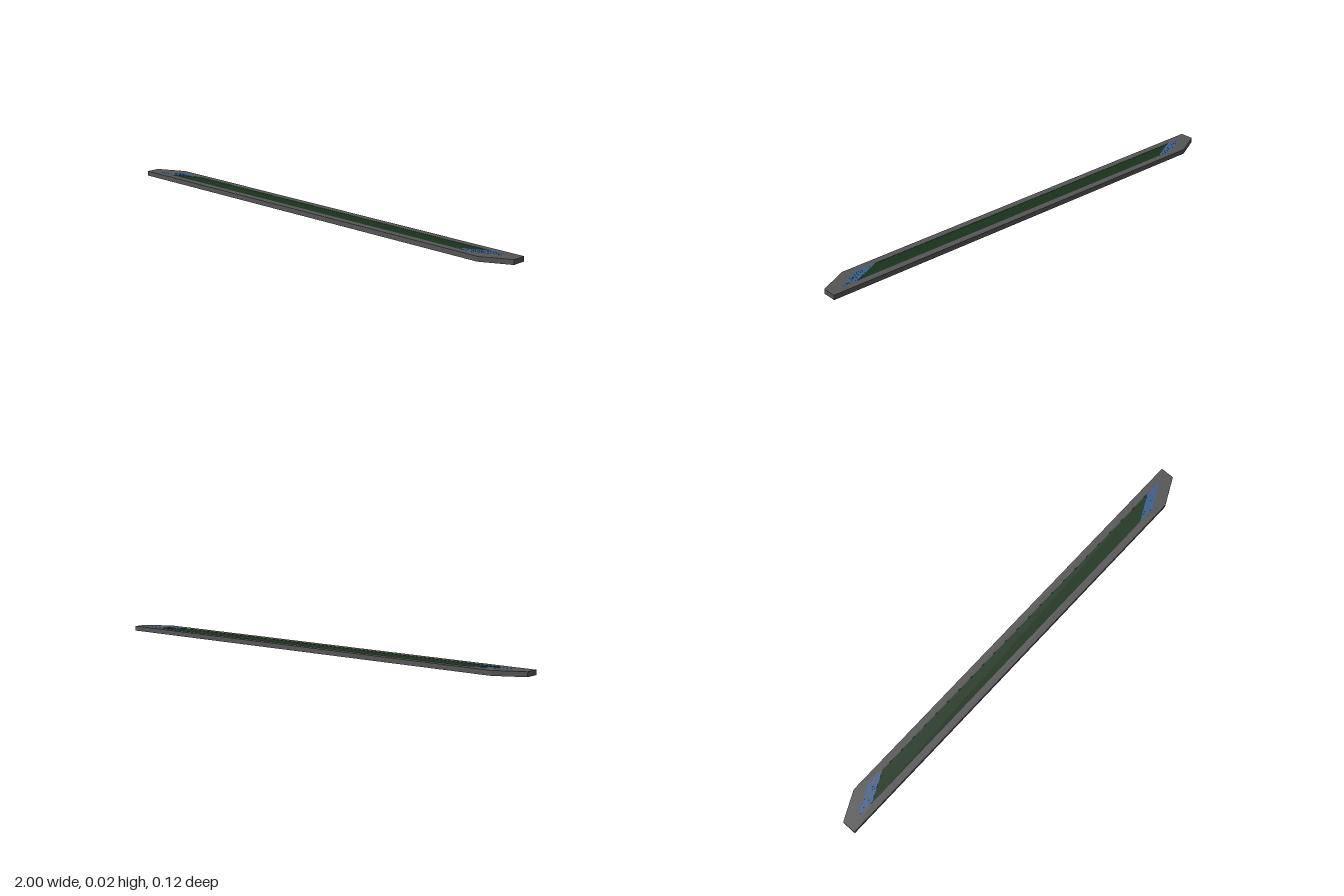
import * as THREE from 'three';

const material = (color) => new THREE.MeshStandardMaterial({ color, flatShading: true });
const GREY = material(0x555555);
const GREEN = material(0x17331a);
const BLUE = material(0x1f66b5);

// Points are [x, z] in plan; the slab rises from y0 to y1.
const toVectors = (points) => points.map(([x, z]) => new THREE.Vector2(x, -z));

function slab(name, points, y0, y1, mat, hole) {
  const shape = new THREE.Shape(toVectors(points));
  if (hole) shape.holes.push(new THREE.Path(toVectors(hole)));
  const geometry = new THREE.ExtrudeGeometry(shape, { depth: y1 - y0, bevelEnabled: false });
  geometry.rotateX(-Math.PI / 2).translate(0, y0, 0);
  const mesh = new THREE.Mesh(geometry, mat);
  mesh.name = name;
  return mesh;
}

// Slanted strip: x0 and x1 are its ends where it crosses z = 0
const SLANT = -2;
const strip = (x0, x1, z0, z1) => [
  [x0 + SLANT * z1, z1], [x1 + SLANT * z1, z1],
  [x1 + SLANT * z0, z0], [x0 + SLANT * z0, z0],
];

export function createModel() {
  const model = new THREE.Group();
  model.name = 'lightBar';
  const height = 0.02;

  // Long frame with two clipped corners and a slanted opening
  const outline = [[-1, 0.06], [0.88, 0.06], [1, 0], [1, -0.06], [-0.88, -0.06], [-1, 0]];
  const opening = strip(-0.81, 0.81, -0.031, 0.031);
  model.add(slab('frame', outline, 0, height, GREY, opening));

  // Dark green panel, set just below the frame on both faces
  model.add(slab('panel', opening, 0.001, height - 0.001, GREEN));

  // Blue ends, the second turned half way round
  for (const side of [0, 1]) {
    const end = new THREE.Group();
    end.name = side ? 'leftEndLight' : 'rightEndLight';
    end.rotation.y = side * Math.PI;
    end.add(slab('lowerLight', strip(-0.89, -0.81, -0.03, 0.03), -0.0003, 0.001, BLUE));
    // Broken rows of small lights on the top face
    const rows = 6;
    for (let r = 0; r < rows; r++) {
      const z = -0.03 + r * 0.01;
      for (let c = 0; c < 3; c++) {
        const x = -0.89 + c * 0.028 + (r % 2) * 0.006;
        end.add(slab('upperLight', strip(x, x + 0.018, z, z + 0.008), height - 0.001, height + 0.0003, BLUE));
      }
    }
    model.add(end);
  }
  return model;
}
